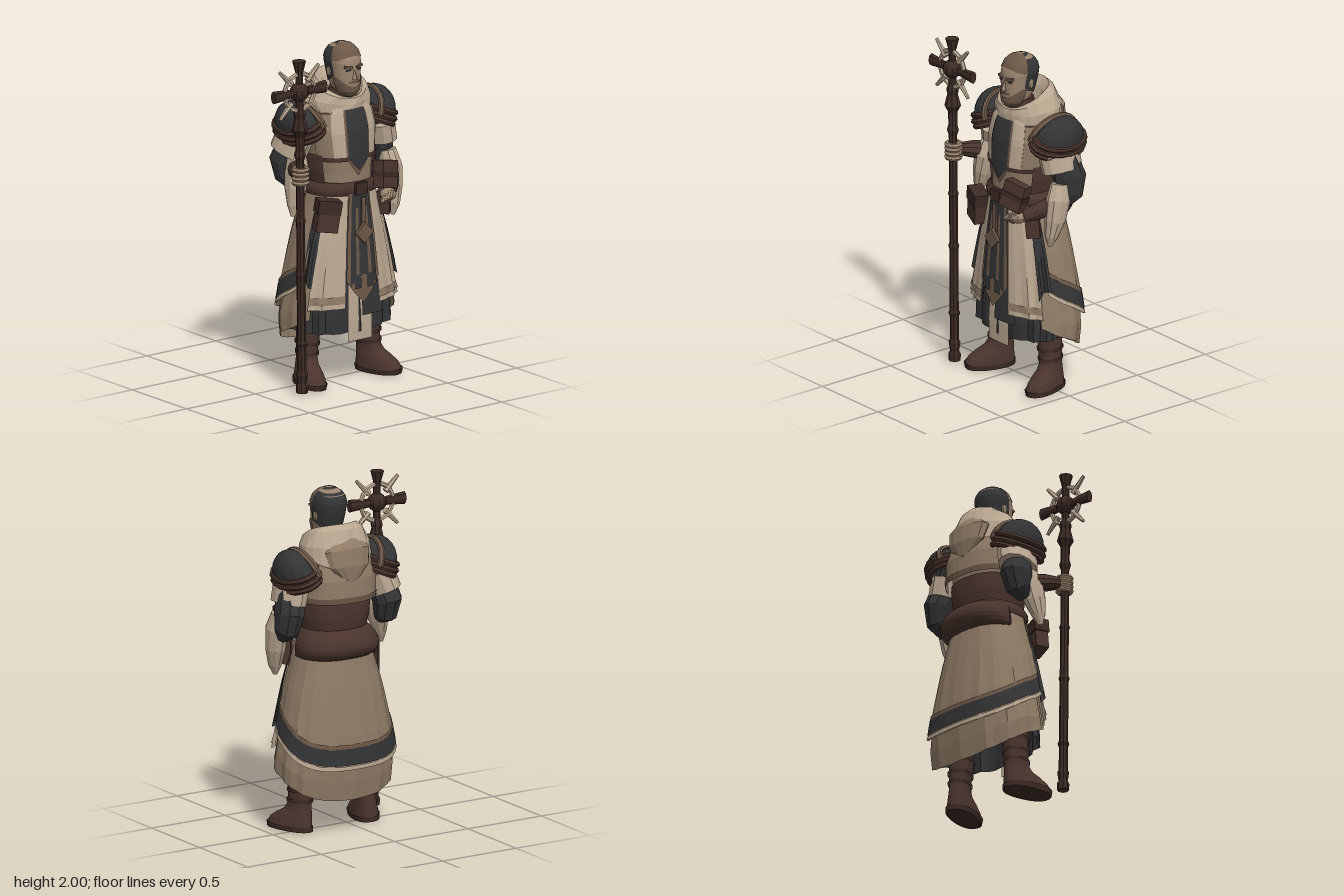
import * as THREE from 'three';

const mk = (name, color) => Object.assign(
  new THREE.MeshStandardMaterial({ color, flatShading: true, side: THREE.DoubleSide }), { name });
const M = {
  cream: mk('cream cloth', 0xbba892), tan: mk('tan cloth', 0x8f7b66), dark: mk('charcoal cloth', 0x333436),
  leather: mk('brown leather', 0x4a342d), wood: mk('dark wood', 0x3c2a25), skin: mk('skin', 0x9a836d),
  trim: mk('brown trim', 0x6d5847),
};
const CX = 0.1, D = Math.PI / 180;
const { sin, cos, abs, sign, PI } = Math;

export function createModel() {
  const root = new THREE.Group();
  const add = (geo, mat, name, pos = [0, 0, 0], rot = [0, 0, 0], scl = [1, 1, 1], parent = root) => {
    const m = new THREE.Mesh(geo, mat);
    m.name = name;
    m.position.set(...pos); m.rotation.set(...rot); m.scale.set(...scl);
    parent.add(m);
    return m;
  };
  // grid surface from a rule fn(u, v) -> [x, y, z]
  const surf = (nu, nv, fn) => {
    const p = [], idx = [];
    for (let j = 0; j <= nv; j++) for (let i = 0; i <= nu; i++) p.push(...fn(i / nu, j / nv));
    for (let j = 0; j < nv; j++) for (let i = 0; i < nu; i++) {
      const a = j * (nu + 1) + i, b = a + nu + 1;
      idx.push(a, b, a + 1, a + 1, b, b + 1);
    }
    const g = new THREE.BufferGeometry();
    g.setAttribute('position', new THREE.Float32BufferAttribute(p, 3));
    g.setIndex(idx);
    g.computeVertexNormals();
    return g;
  };
  // point on a body whose rows are [y, half width, front z, back z]; angle 0 is the front
  const on = (prof, a, y, off) => {
    let k = 0;
    while (k < prof.length - 2 && y > prof[k + 1][0]) k++;
    const A = prof[k], B = prof[k + 1], t = THREE.MathUtils.clamp((y - A[0]) / (B[0] - A[0]), 0, 1);
    const [, rx, zf, zb] = A.map((q, i) => q + (B[i] - q) * t);
    const pw = q => sign(q) * abs(q) ** 0.85;
    return [(rx + off) * pw(sin(a)), y, (zf + zb) / 2 + ((zf - zb) / 2 + off) * pw(cos(a))];
  };
  const val = (f, ...q) => (typeof f === 'function' ? f(...q) : f);
  // cloth patch lying on a body, between two angles and two heights
  const patch = (prof, a0, a1, top, hem, off, mat, name, parent = root, cx = CX, nv = 8) => {
    const nu = Math.max(4, Math.round((a1 - a0) / 9));
    return add(surf(nu, nv, (u, v) => {
      const a = (a0 + (a1 - a0) * u) * D, y0 = val(top, a), y = y0 + (val(hem, a) - y0) * v;
      const p = on(prof, a, y, val(off, a, v, u));
      return [p[0] + cx, p[1], p[2]];
    }), mat, name, [0, 0, 0], [0, 0, 0], [1, 1, 1], parent);
  };
  // closed limb through points [x, y, z, radius, depth factor]
  const limb = (pts, mat, name, n = 10) => {
    const q = [[...pts[0].slice(0, 3), 0], ...pts, [...pts.at(-1).slice(0, 3), 0]];
    const V = p => new THREE.Vector3(p[0], p[1], p[2]);
    return add(surf(n, q.length - 1, (u, v) => {
      const j = Math.round(v * (q.length - 1)), c = q[j], k = Math.min(Math.max(j - 1, 0), pts.length - 1);
      const T = V(pts[Math.min(k + 1, pts.length - 1)]).sub(V(pts[Math.max(k - 1, 0)])).normalize();
      const A = new THREE.Vector3(0, 0, 1).cross(T).normalize(), B = T.clone().cross(A);
      return V(c).addScaledVector(A, c[3] * sin(u * 2 * PI))
        .addScaledVector(B, c[3] * (c[4] ?? 1) * cos(u * 2 * PI)).toArray();
    }), mat, name);
  };

  const body = [[0.2, 0.36, 0.22, -0.23], [0.4, 0.37, 0.22, -0.255], [0.6, 0.33, 0.21, -0.24],
    [0.85, 0.275, 0.195, -0.21], [1.05, 0.215, 0.18, -0.18], [1.2, 0.175, 0.17, -0.16],
    [1.35, 0.2, 0.175, -0.18], [1.5, 0.22, 0.165, -0.19], [1.6, 0.2, 0.14, -0.17], [1.7, 0.1, 0.1, -0.07]];

  // robe layers
  const fold = (base, n, d) => (a, v) => base + d * v * cos(a * n);
  patch(body, 0, 360, 1.68, 1.1, 0, M.tan, 'torso');
  patch(body, -180, 180, 1.15, a => 0.34 - 0.03 * cos(a), fold(-0.03, 16, 0.015), M.dark, 'innerRobe');
  patch(body, 55, 305, 1.1, a => 0.335 + 0.135 * cos(a), fold(-0.006, 14, 0.006), M.tan, 'lowerBackRobe');
  const backHem = a => 0.39 + 0.22 * Math.max(0, (cos(a) + 1) / 1.35) ** 1.3;
  patch(body, 68, 292, 1.15, backHem, fold(0.012, 16, 0.006), M.tan, 'upperBackRobe');
  patch(body, 70, 290, a => backHem(a) + 0.125, a => backHem(a) + 0.03, 0.022, M.dark, 'backHemBand');
  patch(body, 68, 292, a => backHem(a) + 0.025, backHem, 0.021, M.cream, 'backHemEdge');
  patch(body, 70, 290, a => backHem(a) + 0.15, a => backHem(a) + 0.125, 0.021, M.trim, 'backHemLine');
  for (const s of [-1, 1]) {
    const pp = (a0, a1, ...r) => patch(body, ...(s > 0 ? [a0, a1] : [-a1, -a0]), ...r);
    pp(16, 58, 1.12, 0.47, fold(0.014, 18, 0.008), M.cream, 'frontRobePanel');
    pp(16, 58, 0.545, 0.5, fold(0.02, 18, 0.008), M.tan, 'frontHemStripe');
    pp(55, 72, 1.02, a => 0.58 + 0.06 * abs(cos(a * 8)), (a, v) => 0.022 + 0.02 * v * sin(a * 22), M.dark, 'sideDrape');
    // chest panels
    pp(17, 40, 1.64, 1.33, 0.012, M.cream, 'chestPanel');
    pp(40, 75, 1.6, 1.34, 0.008, M.tan, 'chestSide');
    pp(14, 75, 1.35, 1.325, 0.018, M.leather, 'chestHem');
  }
  patch(body, -11, 12, 0.6, 0.26, -0.02, M.cream, 'underStrip');
  patch(body, 0, 22, 0.7, 0.41, 0.005, M.dark, 'underTabard');
  const vee = (y, k) => a => y + k * abs(a);
  patch(body, -16, 16, 1.15, vee(0.49, 0.5), 0.024, M.trim, 'tabardBorder');
  patch(body, -12, 12, 1.15, vee(0.66, -0.3), 0.03, M.dark, 'tabard');
  for (const x of [-1, 1]) patch(body, x * 5 - 3, x * 5 + 3, 0.64, 0.58, 0.031, M.dark, 'tabardInset');
  for (const x of [-1, 1]) patch(body, x * 5 - 1.5, x * 5 + 1.5, 1.05, 0.66, 0.034, M.trim, 'tabardStripe');
  patch(body, -18, 18, 1.62, vee(1.23, 0.35), 0.016, M.trim, 'chestTabardBorder');
  patch(body, -15, 15, 1.62, vee(1.26, 0.3), 0.021, M.dark, 'chestTabard');
  patch(body, 95, 265, 1.62, 1.37, (a, v) => 0.012 + 0.03 * v, M.tan, 'backCape');
  patch(body, 95, 265, 1.395, 1.36, 0.044, M.trim, 'backCapeHem');

  // waist, belt and things hung on it
  patch(body, 62, 298, 1.36, 1.14, (a, v) => 0.012 + 0.012 * sin(v * PI), M.leather, 'waistWrap');
  patch(body, -180, 180, 1.2, 1.12, (a, v) => 0.018 + 0.014 * sin(v * PI), M.leather, 'belt');
  patch(body, 80, 262, 1.2, 1.02, (a, v, u) => 0.005 + 0.08 * sin(v * PI) ** 0.6 * sin(u * PI) ** 0.4, M.leather, 'backPouch');
  const box = (size, mat, name, pos, rot) => add(new THREE.BoxGeometry(...size), mat, name, pos, rot);
  box([0.08, 0.07, 0.02], M.wood, 'buckle', [0.1, 1.16, 0.21]);
  box([0.13, 0.17, 0.08], M.leather, 'sidePouch', [-0.115, 1.02, 0.17], [0, -0.35, -0.15]);
  box([0.14, 0.08, 0.09], M.wood, 'sidePouchFlap', [-0.11, 1.08, 0.173], [0, -0.35, -0.15]);
  box([0.14, 0.16, 0.07], M.leather, 'book', [0.275, 1.215, 0.215], [-0.15, 0.3, -0.18]);
  box([0.15, 0.03, 0.078], M.wood, 'bookStrap', [0.275, 1.215, 0.216], [-0.15, 0.3, -0.18]);
  box([0.08, 0.14, 0.07], M.leather, 'hipPouch', [0.33, 1.03, 0.13], [0, 0.8, 0.1]);
  box([0.025, 0.16, 0.012], M.trim, 'medallionStrap', [0.105, 1.03, 0.225]);
  add(new THREE.CylinderGeometry(0.062, 0.062, 0.018, 4), M.trim, 'medallion', [0.1, 0.905, 0.24], [PI / 2, 0, 0]);

  // cowl: rows of [half width, half depth, front y, back y, centre z]
  const cowl = [[0.175, 0.15, 1.56, 1.5, -0.03], [0.215, 0.18, 1.6, 1.57, -0.03], [0.21, 0.175, 1.645, 1.68, -0.025],
    [0.175, 0.155, 1.68, 1.78, -0.01], [0.14, 0.135, 1.685, 1.81, 0], [0.11, 0.11, 1.66, 1.76, 0.01],
    [0.085, 0.085, 1.6, 1.66, 0.02]].reverse();
  add(surf(22, cowl.length - 1, (u, v) => {
    const [rx, rz, yf, yb, z] = cowl[Math.round(v * (cowl.length - 1))], a = u * 2 * PI, b = (1 - cos(a)) / 2;
    const w = 1 + 0.025 * cos(a * 7 + v * 9);
    return [CX + rx * w * sin(a), yf + (yb - yf) * b + 0.02 * sin(a) ** 2, z + rz * w * cos(a)];
  }), M.cream, 'cowl');
  limb([[0.1, 1.74, -0.13, 0.07, 0.5], [0.1, 1.66, -0.16, 0.15, 0.4], [0.1, 1.57, -0.185, 0.13, 0.35],
    [0.1, 1.48, -0.2, 0.04, 0.5]], M.tan, 'hoodBack', 12);
  add(new THREE.CylinderGeometry(0.075, 0.09, 0.11, 12, 1), M.leather, 'collar', [0.1, 1.675, 0.03]);

  // head
  const head = [[1.69, 0.035, 0.13, 0.03], [1.72, 0.066, 0.148, -0.01], [1.77, 0.082, 0.15, -0.04],
    [1.84, 0.088, 0.15, -0.06], [1.9, 0.097, 0.145, -0.07], [1.95, 0.084, 0.12, -0.058],
    [1.98, 0.055, 0.085, -0.025], [1.997, 0.004, 0.035, 0.025]];
  patch(head, 0, 360, 1.997, 1.69, 0, M.skin, 'head', root, CX, 14);
  patch(head, 80, 280, 1.993, a => 1.79 + 0.04 * cos(a), 0.004, M.dark, 'backHair');
  patch(head, -80, 80, 1.994, a => 1.925 - 0.03 * sin(a) ** 2, 0.004, M.trim, 'frontHair');
  patch(head, -85, 85, a => 1.75 + 0.06 * sin(a) ** 2, 1.69, 0.006, M.trim, 'beard');
  patch(head, -24, 24, 1.785, 1.77, 0.006, M.trim, 'moustache');
  add(new THREE.ConeGeometry(0.019, 0.065, 4), M.skin, 'nose', [0.1, 1.825, 0.152], [-0.15, 0, 0]);
  for (const s of [-1, 1]) {
    box([0.05, 0.014, 0.02], M.trim, 'brow', [CX + s * 0.038, 1.866, 0.142], [0, s * 0.3, s * 0.12]);
    box([0.028, 0.01, 0.008], M.dark, 'eye', [CX + s * 0.038, 1.848, 0.143], [0, s * 0.3, 0]);
    add(new THREE.SphereGeometry(0.025, 8, 6), M.skin, 'ear', [CX + s * 0.092, 1.83, 0.03], [0, 0, 0], [0.4, 1.2, 0.8]);
  }

  // shoulder armour and boots
  const boot = [[0, 0.072, 0.2, -0.09], [0.03, 0.076, 0.205, -0.09], [0.07, 0.07, 0.18, -0.088],
    [0.12, 0.058, 0.09, -0.085], [0.16, 0.056, 0.06, -0.08], [0.3, 0.066, 0.06, -0.085], [0.45, 0.07, 0.06, -0.085]];
  for (const s of [-1, 1]) {
    const g = new THREE.Group();
    g.name = 'pauldron';
    g.position.set(CX + s * 0.262, 1.515, -0.03); g.rotation.z = -s * 0.38;
    root.add(g);
    add(new THREE.SphereGeometry(1, 14, 6, 0, PI * 2, 0, PI / 2), M.dark, 'pauldronDome', [0, 0, 0], [0, 0, 0], [0.118, 0.165, 0.165], g);
    for (const [y, k] of [[0.035, 1], [0, 1.04], [-0.03, 1.02]])
      add(new THREE.TorusGeometry(0.118 * k, 0.013, 6, 18), M.leather, 'pauldronRim', [0, y, 0], [PI / 2, 0, 0], [1, 1.38, 1.3], g);
    add(new THREE.TorusGeometry(0.15, 0.014, 6, 14, PI), M.trim, 'pauldronInnerTrim', [-s * 0.06, 0, 0], [0, PI / 2, 0], [1.05, 0.95, 1.5], g);

    const b = new THREE.Group();
    b.name = 'boot';
    b.position.set(CX + s * 0.235, 0.004, 0); b.rotation.set(0, s * 0.28, s * 0.06);
    root.add(b);
    patch(boot, 0, 360, 0.45, 0, 0, M.leather, 'bootUpper', b, 0, 15);
    patch(boot, 0, 360, 0.03, 0, 0.006, M.wood, 'sole', b, 0, 1);
    add(new THREE.CircleGeometry(1, 16), M.wood, 'soleBottom', [0, 0.001, 0.055], [PI / 2, 0, 0], [0.074, 0.147, 1], b);
    for (const y of [0.17, 0.23, 0.31]) patch(boot, 0, 360, y + 0.018, y, 0.007, M.wood, 'bootStrap', b, 0, 1);
  }

  // left arm
  limb([[0.36, 1.52, -0.03, 0.09], [0.41, 1.4, -0.04, 0.085], [0.43, 1.31, -0.06, 0.085, 1.2], [0.44, 1.22, -0.05, 0.07, 1.2],
    [0.43, 1.17, 0, 0.05]], M.dark, 'leftUpperSleeve');
  limb([[0.385, 1.47, -0.015, 0.095, 1.4], [0.41, 1.36, -0.02, 0.092, 1.4]], M.cream, 'leftArmBand', 12);
  limb([[0.44, 1.29, 0.02, 0.05, 1.1], [0.45, 1.2, 0.04, 0.062, 1.2], [0.445, 1.08, 0.06, 0.058, 1.1], [0.435, 0.98, 0.08, 0.04, 1],
    [0.43, 0.92, 0.085, 0.012]], M.cream, 'leftBellSleeve');
  limb([[0.44, 1.18, 0.02, 0.055], [0.38, 1.13, 0.13, 0.048], [0.33, 1.1, 0.19, 0.036]], M.leather, 'leftForearm');
  add(new THREE.SphereGeometry(0.048, 8, 6), M.skin, 'leftHand', [0.295, 1.09, 0.21], [0, 0, 0], [1.15, 0.8, 0.9]);
  for (let i = 0; i < 4; i++)
    limb([[0.305 - i * 0.02, 1.115 - i * 0.008, 0.235, 0.012], [0.285 - i * 0.02, 1.085 - i * 0.006, 0.25, 0.013],
      [0.285 - i * 0.015, 1.055, 0.23, 0.011]], M.skin, 'leftFinger', 6);

  // right arm
  limb([[-0.15, 1.52, -0.04, 0.09], [-0.19, 1.4, -0.07, 0.085], [-0.21, 1.31, -0.1, 0.085, 1.15], [-0.21, 1.23, -0.08, 0.07, 1.1],
    [-0.21, 1.19, -0.03, 0.04]], M.dark, 'rightUpperSleeve');
  limb([[-0.17, 1.47, -0.05, 0.095, 1.4], [-0.205, 1.36, -0.08, 0.092, 1.4]], M.cream, 'rightArmBand', 12);
  limb([[-0.2, 1.36, 0, 0.055], [-0.215, 1.27, 0.02, 0.07, 1.1], [-0.235, 1.17, 0.03, 0.06, 1.1], [-0.255, 1.08, 0.04, 0.038],
    [-0.265, 1.02, 0.045, 0.012]], M.cream, 'rightBellSleeve');
  limb([[-0.2, 1.29, 0.0, 0.058], [-0.27, 1.3, 0.09, 0.05], [-0.31, 1.305, 0.15, 0.036]], M.leather, 'rightForearm');
  add(new THREE.SphereGeometry(0.046, 8, 6), M.skin, 'rightHand', [-0.305, 1.3, 0.17], [0, 0, 0], [0.9, 1.15, 0.9]);
  for (let i = 0; i < 4; i++)
    add(new THREE.TorusGeometry(0.038, 0.015, 6, 10), M.skin, 'rightFinger', [-0.318, 1.262 + i * 0.026, 0.185], [PI / 2, 0, 0]);

  // staff with a spoked wheel head
  const staff = new THREE.Group();
  staff.name = 'staff';
  staff.position.set(-0.307, 0.015, 0.185); staff.rotation.z = 0.0115;
  root.add(staff);
  const shaft = [[0, 0], [0.034, 0], [0.036, 0.04], [0.026, 0.06], [0.034, 0.11], [0.026, 0.13], [0.026, 0.27], [0.034, 0.29],
    [0.026, 0.31], [0.026, 0.68], [0.032, 0.7], [0.025, 0.72], [0.025, 1.0], [0.031, 1.02], [0.024, 1.04], [0.024, 1.38], [0.034, 1.41],
    [0.026, 1.44], [0.026, 1.52], [0.048, 1.56], [0.03, 1.63], [0.036, 1.66], [0.022, 1.69], [0.022, 1.9], [0.04, 1.97], [0, 1.975]];
  add(new THREE.LatheGeometry(shaft.map(p => new THREE.Vector2(...p)), 8), M.wood, 'shaft', [0, 0, 0], [0, 0, 0], [1, 1, 1], staff);
  const hub = [0, 1.785, 0];
  add(new THREE.SphereGeometry(0.056, 10, 8), M.wood, 'hub', hub, [0, 0, 0], [1, 1, 1], staff);
  add(new THREE.TorusGeometry(0.108, 0.014, 6, 24), M.cream, 'wheelRing', hub, [0, 0, 0], [1, 1, 1], staff);
  for (let i = 0; i < 4; i++) {
    const a = i * PI / 2 + PI / 4;
    add(new THREE.CylinderGeometry(0.01, 0.019, 0.12, 6), M.cream, 'spoke',
      [cos(a) * 0.14, hub[1] + sin(a) * 0.14, 0], [0, 0, a - PI / 2], [1, 1, 1], staff);
  }
  for (const s of [-1, 1])
    add(new THREE.CylinderGeometry(0.038, 0.024, 0.15, 8), M.wood, 'crossArm', [s * 0.113, hub[1], 0], [0, 0, -s * PI / 2], [1, 1, 0.6], staff);
  return root;
}
